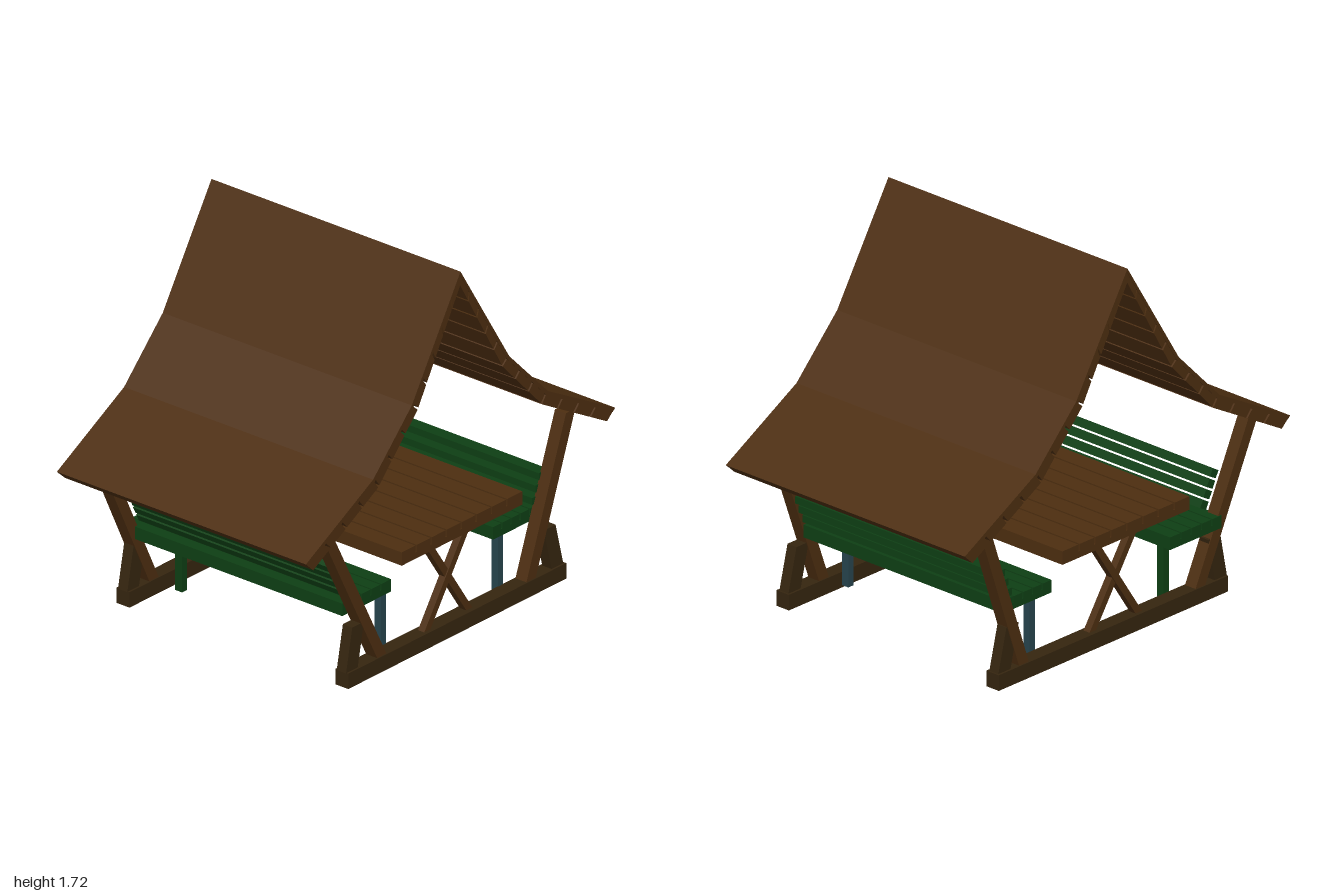
import * as THREE from 'three';

const mat = (name, color) => {
  const m = new THREE.MeshStandardMaterial({ color });
  m.name = name;
  return m;
};

export function createModel() {
  const brown = mat('brown wood', 0x4d2e10);
  const dark = mat('dark brown wood', 0x35250f);
  const green = mat('green paint', 0x0e3f14);
  const teal = mat('teal leg paint', 0x27454e);
  const root = new THREE.Group();
  root.name = 'gardenShelter';

  const group = (name) => {
    const g = new THREE.Group();
    g.name = name;
    root.add(g);
    return g;
  };
  // box given by its limits
  const box = (parent, name, m, x0, x1, y0, y1, z0, z1) => {
    const b = new THREE.Mesh(new THREE.BoxGeometry(x1 - x0, y1 - y0, z1 - z0), m);
    b.position.set((x0 + x1) / 2, (y0 + y1) / 2, (z0 + z1) / 2);
    b.name = name;
    parent.add(b);
    return b;
  };
  // front outline extruded from z0 to z1
  const prism = (parent, name, m, pts, z0, z1) => {
    const shape = new THREE.Shape(pts.map(([x, y]) => new THREE.Vector2(x, y)));
    const g = new THREE.ExtrudeGeometry(shape, { depth: z1 - z0, bevelEnabled: false });
    g.translate(0, 0, z0);
    const p = new THREE.Mesh(g, m);
    p.name = name;
    parent.add(p);
  };
  // leaning bar with level ends, w measured along x
  const bar = (parent, name, m, x0, y0, x1, y1, w, z0, z1) =>
    prism(parent, name, m, [[x0 - w / 2, y0], [x0 + w / 2, y0], [x1 + w / 2, y1], [x1 - w / 2, y1]], z0, z1);
  const mix = (a, b, t) => [a[0] + (b[0] - a[0]) * t, a[1] + (b[1] - a[1]) * t];

  // Roof: a thin curved skin with boards beneath it
  const roof = group('roof');
  const outer = [[0, 1.72], [0.315, 1.21], [0.565, 0.955], [1, 0.718]];
  const inner = [[0, 1.655], [0.275, 1.175], [0.53, 0.905], [0.95, 0.672]];
  const under = outer.map((p, i) => mix(p, inner[i], 0.3));
  const boardCount = [5, 3, 4];
  for (const s of [-1, 1]) {
    const flip = (pts) => pts.map(([x, y]) => [x * s, y]);
    prism(roof, 'roofSkin', brown, flip([...outer, ...under.slice().reverse()]), -0.69, 0.69);
    boardCount.forEach((n, i) => {
      for (let k = 0; k < n; k++) {
        const a = k / n, b = (k + 1) / n - (i === 2 && k === n - 1 ? 0 : 0.09 / n);
        prism(roof, 'roofBoard', brown, flip([
          mix(under[i], under[i + 1], a), mix(under[i], under[i + 1], b),
          mix(inner[i], inner[i + 1], b), mix(inner[i], inner[i + 1], a),
        ]), -0.688, 0.688);
      }
    });
  }

  // Base rails, braces, roof posts and crossed table legs at each end
  for (const s of [-1, 1]) {
    const frame = group(s > 0 ? 'frontFrame' : 'backFrame');
    const span = (a, b) => (s > 0 ? [a, b] : [-b, -a]);
    box(frame, 'baseRail', dark, -0.67, 0.74, 0, 0.072, ...span(0.57, 0.642));
    bar(frame, 'leftBrace', dark, 0.695, 0.07, 0.645, 0.27, 0.075, ...span(0.58, 0.632));
    bar(frame, 'rightBrace', dark, -0.635, 0.07, -0.595, 0.27, 0.075, ...span(0.58, 0.632));
    const [l0, l1, r0, r1] = s > 0 ? [0.515, 0.775, -0.44, -0.8] : [0.575, 0.82, -0.5, -0.835];
    bar(frame, 'leftPost', brown, l0, 0.06, l1, 0.768, 0.06, ...span(0.575, 0.636));
    bar(frame, 'rightPost', brown, r0, 0.06, r1, 0.762, 0.06, ...span(0.575, 0.636));
    bar(frame, 'tableLeg', brown, -0.14, 0.07, 0.14, 0.49, 0.04, ...span(0.59, 0.625));
    bar(frame, 'tableLeg', brown, 0.14, 0.07, -0.14, 0.49, 0.04, ...span(0.585, 0.62));
  }

  // Table: a slab topped by eight planks
  const table = group('table');
  box(table, 'tableSlab', brown, -0.38, 0.4, 0.485, 0.515, -0.69, 0.69);
  for (let i = 0; i < 8; i++) {
    const x = -0.38 + i * 0.0975;
    box(table, 'tablePlank', brown, x, x + (i < 7 ? 0.088 : 0.0975), 0.515, 0.547, -0.69, 0.69);
  }

  // Benches: slab, seat slats, back slats and legs
  const bench = (name, x0, x1, zBack) => {
    const g = group(name);
    box(g, 'seatSlab', green, x0, x1, 0.305, 0.335, zBack, 0.575);
    const step = (x1 - x0) / 5;
    for (let i = 0; i < 5; i++) {
      box(g, 'seatSlat', green, x0 + i * step, x0 + (i + 1) * step - (i < 4 ? 0.008 : 0), 0.335, 0.363, zBack, 0.575);
    }
    return g;
  };
  const left = bench('leftBench', 0.345, 0.645, -0.575);
  for (let i = 0; i < 3; i++) {
    const x = 0.622 + i * 0.022, y = 0.378 + i * 0.05;
    box(left, 'backSlat', green, x - 0.03, x + 0.03, y, y + 0.032, -0.58, 0.58);
  }
  box(left, 'frontLeg', teal, 0.38, 0.412, 0.01, 0.31, 0.535, 0.572);
  box(left, 'backLeg', teal, 0.432, 0.465, 0.01, 0.31, -0.562, -0.525);

  const right = bench('rightBench', -0.63, -0.315, -0.64);
  for (let i = 0; i < 4; i++) {
    const slat = box(right, 'backSlat', green, -0.02, 0.02, -0.018, 0.018, -0.58, 0.58);
    slat.position.set(-0.59 - i * 0.02, 0.405 + i * 0.042, 0);
    slat.rotation.z = 0.5;
  }
  box(right, 'frontLeg', teal, -0.375, -0.343, 0.01, 0.31, 0.535, 0.572);
  box(right, 'backLeg', green, -0.43, -0.398, 0.01, 0.31, -0.525, -0.485);

  return root;
}
